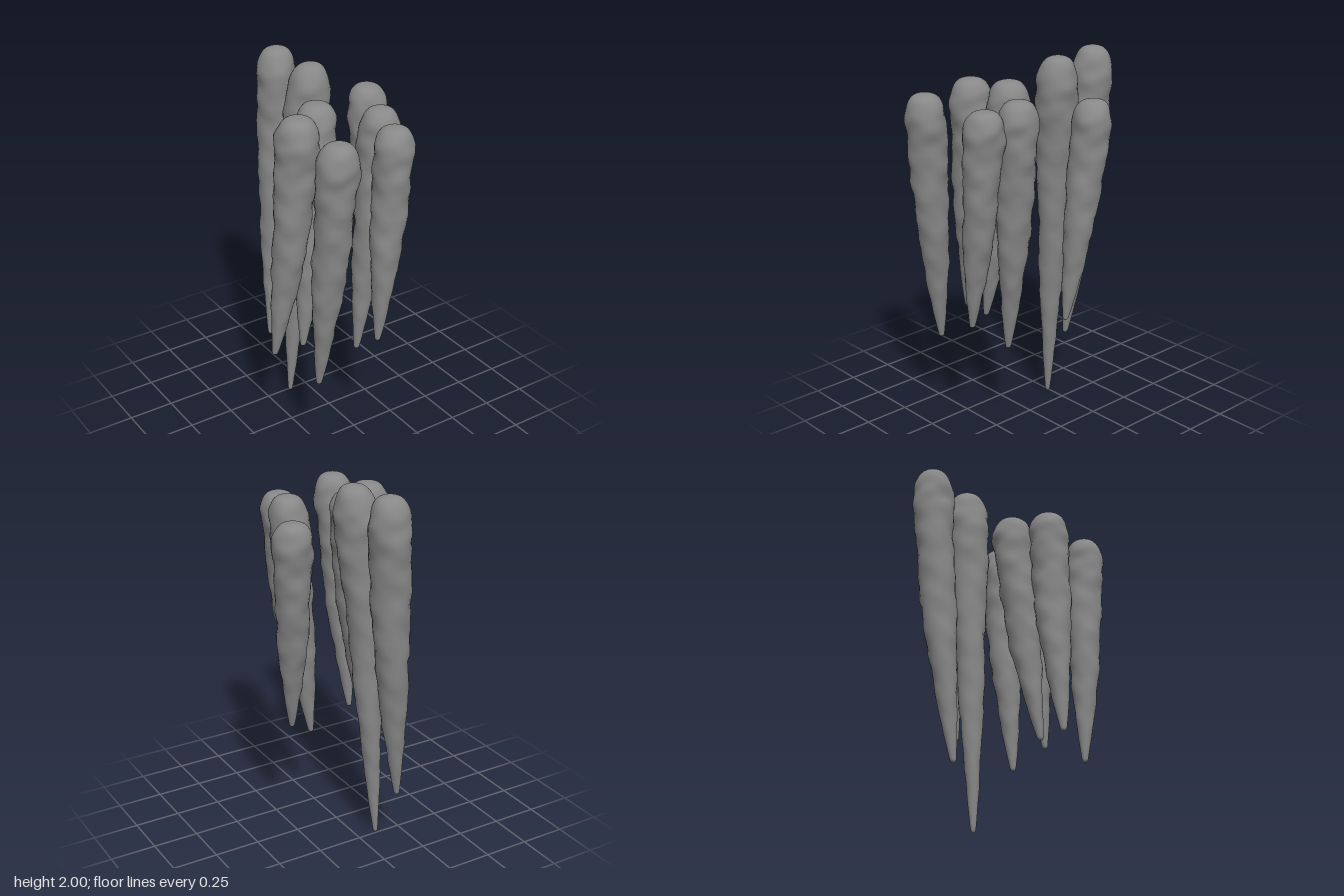
import * as THREE from 'three';
import { mergeVertices } from 'three/addons/utils/BufferGeometryUtils.js';

// Radius share along the icicle: [share of radius, share of length from the top]
const PROFILE = [
  [0, 0], [0.33, 0.002], [0.6, 0.011], [0.8, 0.03], [0.94, 0.06], [1, 0.1], [0.98, 0.16],
  [0.93, 0.25], [0.89, 0.36], [0.83, 0.48], [0.74, 0.6], [0.6, 0.71], [0.46, 0.81],
  [0.32, 0.9], [0.18, 0.975], [0.12, 0.995], [0, 1],
].map(([r, t]) => new THREE.Vector2(r, t));

// Top centre x, y, z; tip x, y, z; radius; slimness of the lower half; bend of the axis
const ICICLES = [
  { top: [-0.018, 2.0, -0.468], tip: [-0.137, 0.31, -0.4], r: 0.109, slim: 0, bend: 1.5 },
  { top: [0.012, 1.99, -0.185], tip: [-0.11, 0, -0.238], r: 0.115, slim: 0.2, bend: 0.85 },
  { top: [0.325, 1.83, -0.13], tip: [0.275, 0.65, 0], r: 0.102, slim: 0, bend: 1.2 },
  { top: [-0.108, 1.88, 0.048], tip: [-0.24, 0.54, 0.11], r: 0.11, slim: 0, bend: 1.4 },
  { top: [-0.285, 1.88, 0.155], tip: [-0.41, 0.54, 0.1], r: 0.112, slim: 0, bend: 1.6 },
  { top: [-0.262, 1.855, 0.475], tip: [-0.31, 0.47, 0.37], r: 0.106, slim: 0, bend: 1.2 },
  { top: [0.115, 1.825, 0.403], tip: [0.02, 0.65, 0.425], r: 0.103, slim: 0, bend: 1.2 },
  { top: [0.16, 1.855, 0.222], tip: [0.045, 0.47, 0.2], r: 0.106, slim: 0, bend: 1.2 },
];

// Lumps and soft rings, different for each seed
function lump(a, y, seed) {
  return 0.03 * Math.sin(2 * a + 9 * y + seed * 2.1)
    + 0.03 * Math.sin(3 * a - 19 * y + seed * 4.7)
    + 0.025 * Math.sin(a + 34 * y + seed * 1.3)
    + 0.025 * Math.sin(4 * a + seed) * Math.sin(41 * y + seed * 3.3)
    + 0.02 * Math.sin(57 * y - 2 * a + seed * 5.9);
}

function icicleGeometry({ top, tip, r, slim, bend }, seed) {
  const length = top[1] - tip[1];
  const points = new THREE.SplineCurve(PROFILE).getPoints(72).reverse()
    .map((p) => new THREE.Vector2(Math.max(0, p.x), THREE.MathUtils.clamp(p.y, 0, 1)));
  points[0].x = points[points.length - 1].x = 0;
  let geometry = new THREE.LatheGeometry(points, 24);
  geometry.deleteAttribute('uv');
  geometry.deleteAttribute('normal');
  geometry = mergeVertices(geometry, 1e-5);

  // Scale, roughen and lean the lathe down along its bent axis
  const pos = geometry.attributes.position;
  for (let i = 0; i < pos.count; i++) {
    const x = pos.getX(i), t = pos.getY(i), z = pos.getZ(i);
    const rough = Math.min(1, t * 12) * Math.min(1, (1 - t) * 6);
    const taper = 1 - slim * THREE.MathUtils.smoothstep(t, 0.1, 0.5);
    const s = r * taper * (1 + rough * lump(Math.atan2(z, x), t * length, seed));
    const k = Math.pow(t, bend);
    pos.setXYZ(i,
      THREE.MathUtils.lerp(top[0], tip[0], k) + x * s,
      top[1] - t * length,
      THREE.MathUtils.lerp(top[2], tip[2], k) + z * s);
  }
  geometry.computeVertexNormals();
  return geometry;
}

export function createModel() {
  const group = new THREE.Group();
  group.name = 'icicles';
  const ice = new THREE.MeshStandardMaterial({ color: 0x888888 });
  ICICLES.forEach((spec, i) => {
    const mesh = new THREE.Mesh(icicleGeometry(spec, i + 1), ice);
    mesh.name = `icicle${i + 1}`;
    group.add(mesh);
  });
  return group;
}
